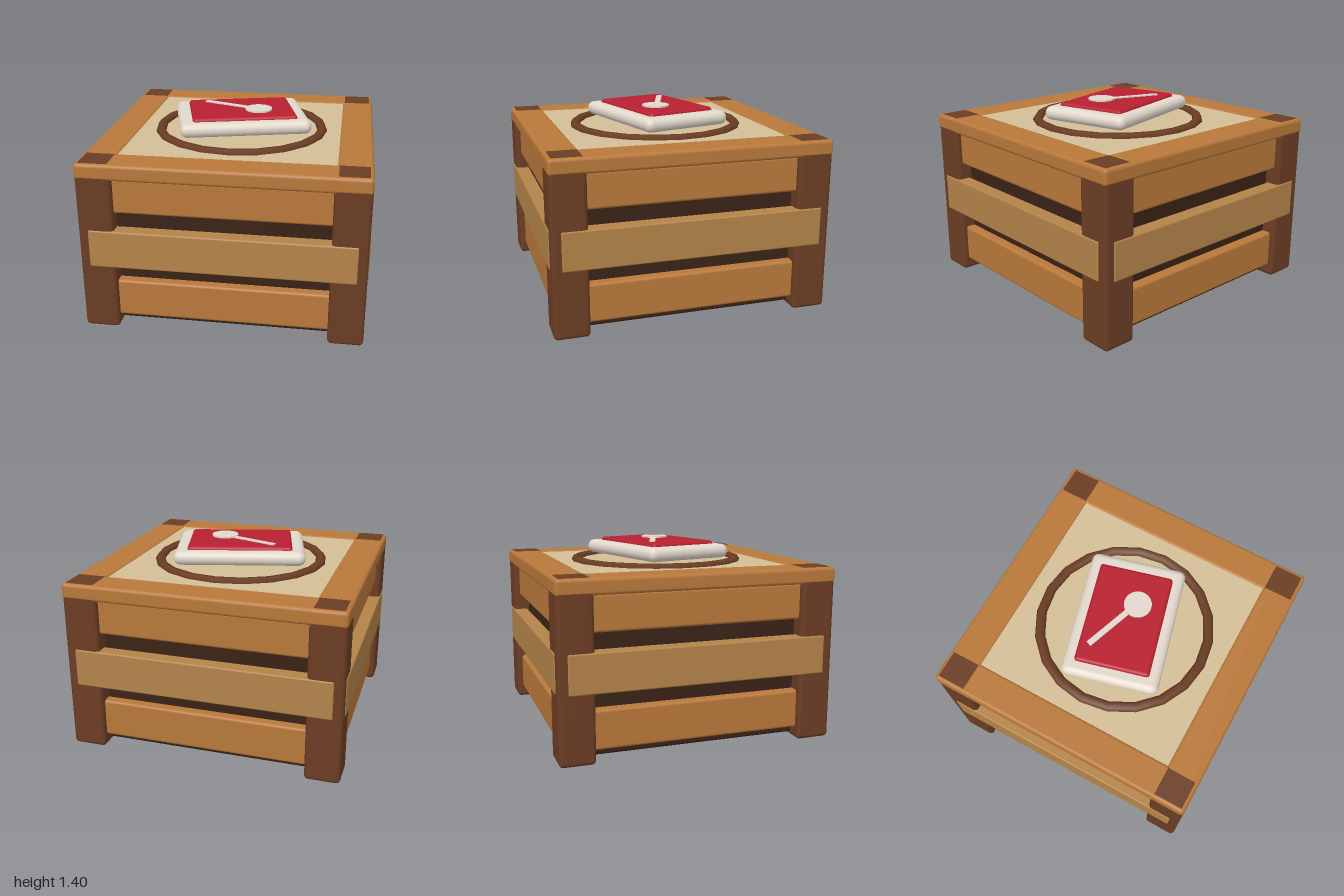
import * as THREE from 'three';
import { RoundedBoxGeometry } from 'three/addons/geometries/RoundedBoxGeometry.js';

const mat = (color) => new THREE.MeshStandardMaterial({ color });
const WOOD = mat(0xb8783a), PALE_WOOD = mat(0xb38349), POST = mat(0x6b3d24);
const DARK = mat(0x3a2216), PANEL = mat(0xd3be96), CLOTH = mat(0xe2d8cc), RED = mat(0xb92030);

function add(parent, name, geometry, material, x, y, z) {
  const mesh = new THREE.Mesh(geometry, material);
  mesh.name = name;
  mesh.position.set(x, y, z);
  parent.add(mesh);
  return mesh;
}

// Rounded box resting on y0 and reaching y1
function block(parent, name, material, w, y0, y1, d, x, z, radius) {
  const geometry = new RoundedBoxGeometry(w, y1 - y0, d, 3, radius);
  return add(parent, name, geometry, material, x, (y0 + y1) / 2, z);
}

export function createModel() {
  const model = new THREE.Group();
  model.name = 'crate';

  // Dark inner box and corner posts
  block(model, 'innerBox', DARK, 1.76, 0.025, 1.2, 1.76, 0, 0, 0.02);
  for (const sx of [-1, 1]) {
    for (const sz of [-1, 1]) {
      block(model, 'cornerPost', POST, 0.25, 0, 1.246, 0.25, sx * 0.868, sz * 0.868, 0.03);
    }
  }

  // Three slats and a top rail on each side
  for (let i = 0; i < 4; i++) {
    const side = new THREE.Group();
    side.name = 'side';
    side.rotation.y = i * Math.PI / 2;
    block(side, 'lowerSlat', WOOD, 1.6, 0.085, 0.362, 0.1, 0, 0.9, 0.02);
    block(side, 'middleSlat', PALE_WOOD, 1.85, 0.485, 0.762, 0.11, 0, 0.945, 0.012);
    block(side, 'upperSlat', WOOD, 1.6, 0.88, 1.135, 0.1, 0, 0.9, 0.02);
    // The side rails are a hair lower so that the corners overlap cleanly
    block(side, 'topRail', WOOD, 1.99, 1.13, i % 2 ? 1.244 : 1.245, 0.245, 0, 0.872, 0.025);
    model.add(side);
  }

  // Lid panel with a faceted ring
  add(model, 'lidPanel', new THREE.BoxGeometry(1.52, 0.06, 1.52), PANEL, 0, 1.205, 0);
  const ring = add(model, 'lidRing', new THREE.TorusGeometry(0.615, 0.04, 6, 20), POST, 0, 1.23, 0);
  ring.rotation.x = Math.PI / 2;

  // Cushion with its red patch, turned on the lid
  const cushion = new THREE.Group();
  cushion.name = 'cushionGroup';
  cushion.rotation.y = 0.26;
  block(cushion, 'cushion', CLOTH, 0.96, 1.265, 1.367, 0.7, 0, 0, 0.05);
  block(cushion, 'redPatch', RED, 0.77, 1.34, 1.39, 0.54, 0, 0, 0.024);
  model.add(cushion);

  // Disc and bar on the patch
  add(model, 'disc', new THREE.CylinderGeometry(0.1, 0.1, 0.03, 20), CLOTH, 0.135, 1.387, 0.035);
  const bar = add(model, 'bar', new THREE.BoxGeometry(0.42, 0.03, 0.042), CLOTH, -0.095, 1.383, -0.055);
  bar.rotation.y = -0.34;

  return model;
}
